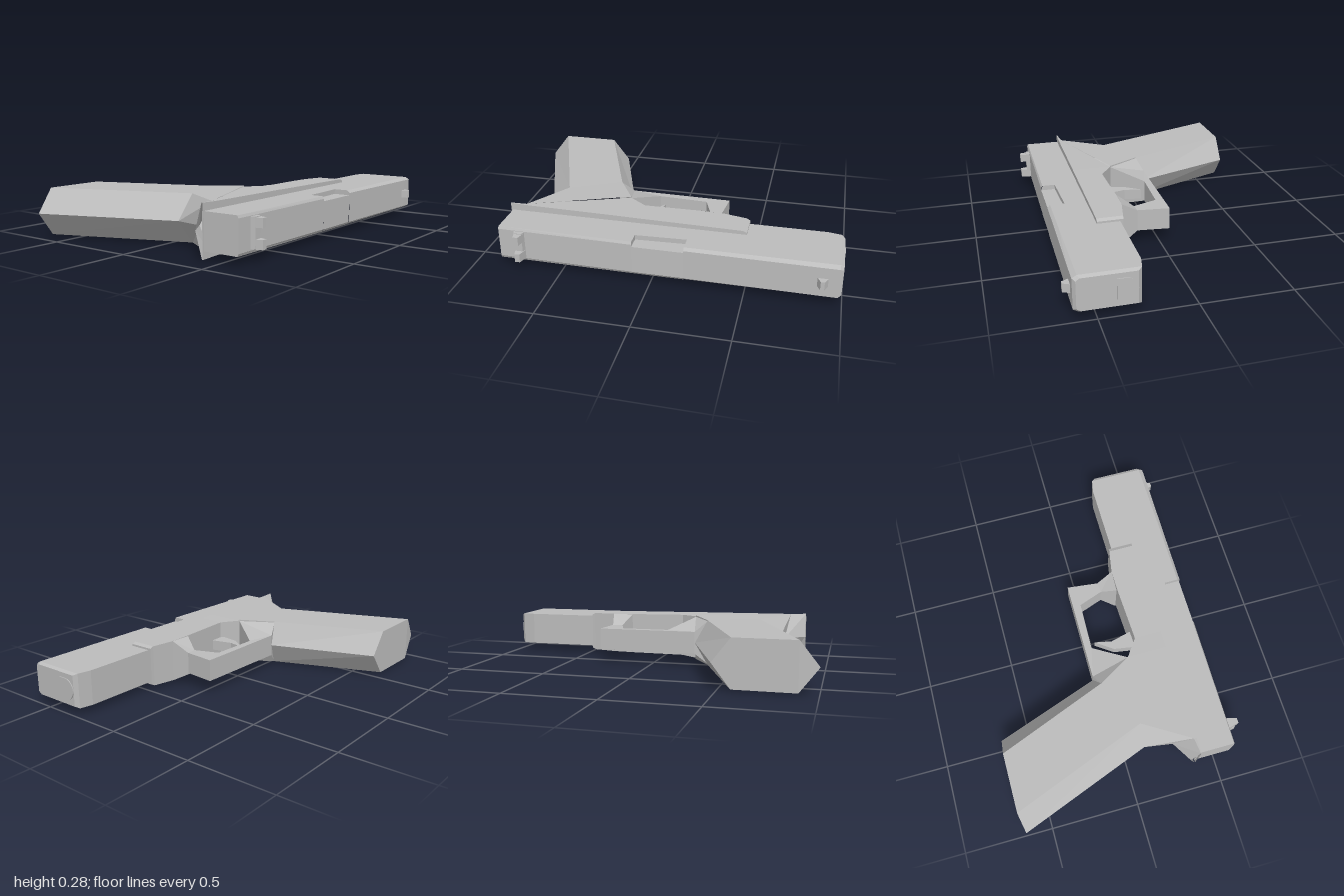
import * as THREE from 'three';

const MID = 0.14; // height of the symmetry plane

// Skin over open cross-section lines (arrays of [x, y, z]), with optional end caps
function loft(sections, capStart = false, capEnd = false) {
  const n = sections[0].length;
  const idx = [];
  for (let s = 0; s < sections.length - 1; s++) {
    for (let i = 0; i < n - 1; i++) {
      const a = s * n + i, b = a + 1;
      idx.push(a, b, b + n, a, b + n, a + n);
    }
  }
  const e = (sections.length - 1) * n;
  for (let i = 1; i < n - 1; i++) {
    if (capStart) idx.push(0, i + 1, i);
    if (capEnd) idx.push(e, e + i, e + i + 1);
  }
  const g = new THREE.BufferGeometry();
  g.setAttribute('position', new THREE.Float32BufferAttribute(sections.flat(2), 3));
  g.setIndex(idx);
  const flat = g.toNonIndexed();
  flat.computeVertexNormals();
  return flat;
}

export function createModel() {
  const model = new THREE.Group();
  // the shell is open underneath, so both sides show
  const gray = new THREE.MeshStandardMaterial({ color: 0xbcbcbc, flatShading: true, side: THREE.DoubleSide });
  gray.name = 'gray';
  const add = (name, geometry) => {
    const mesh = new THREE.Mesh(geometry, gray);
    mesh.name = name;
    model.add(mesh);
  };

  // Grip: six-sided sections with ridges on the middle plane, open below
  const grip = (rearRidge, rear, front, frontRidge, h) => [
    [rear[0], MID - h, rear[1]],
    [rearRidge[0], MID, rearRidge[1]],
    [rear[0], MID + h, rear[1]],
    [front[0], MID + h, front[1]],
    [frontRidge[0], MID, frontRidge[1]],
    [front[0], MID - h, front[1]],
  ];
  add('grip', loft([
    grip([-1, -0.64], [-0.9, -0.655], [-0.57, -0.655], [-0.47, -0.655], 0.13),
    grip([-0.72, 0.115], [-0.61, 0.115], [-0.33, -0.03], [-0.26, -0.055], 0.13),
    grip([-0.745, 0.275], [-0.77, 0.375], [-0.22, 0.16], [-0.22, 0.16], 0.134),
  ], true));

  // Flared tail behind the grip
  const tail = (ridge, flat, h) => [
    [flat[0], MID - h, flat[1]], [ridge[0], MID, ridge[1]], [flat[0], MID + h, flat[1]],
  ];
  add('tail', loft([
    tail([-0.745, 0.275], [-0.77, 0.375], 0.134),
    tail([-0.86, 0.345], [-0.86, 0.385], 0.138),
  ]));

  // Frame under the slide: rear part joins the grip, front part has its own lower wall
  const rail = (x, h, z0) => [
    [x, MID - h, z0], [x, MID + h, z0], [x, MID + h, 0.39], [x, MID - h, 0.39],
  ];
  add('rearFrame', loft([
    rail(-0.86, 0.138, 0.385), rail(-0.77, 0.134, 0.375), rail(-0.22, 0.128, 0.16),
  ].map(section => section.slice(1))));
  add('frontFrame', loft([
    rail(-0.22, 0.128, 0.16), rail(-0.12, 0.126, 0.232), rail(0.2, 0.122, 0.22),
    rail(0.325, 0.12, 0.22), rail(0.46, 0.118, 0.245), rail(0.48, 0.108, 0.247),
  ], false, true));

  // Guard loop, slim below and widening into the frame
  const guard = (inner, outer, h) => [
    [inner[0], MID - h, inner[1]], [inner[0], MID + h, inner[1]],
    [outer[0], MID + h, outer[1]], [outer[0], MID - h, outer[1]],
  ];
  add('triggerGuard', loft([
    guard([-0.22, 0.16], [-0.33, -0.03], 0.125),
    guard([-0.09, -0.02], [-0.26, -0.06], 0.064),
    guard([0.19, -0.01], [0.32, -0.055], 0.062),
    guard([0.24, 0.13], [0.3, 0.125], 0.062),
    guard([0.2, 0.215], [0.325, 0.22], 0.12),
  ]));

  // Trigger
  const triggerShape = new THREE.Shape(
    [[-0.05, -0.01], [-0.07, -0.11], [-0.04, -0.23], [-0.14, -0.235], [-0.12, -0.11]]
      .map(p => new THREE.Vector2(...p)));
  const trigger = new THREE.ExtrudeGeometry(triggerShape, { depth: 0.06, bevelEnabled: false });
  add('trigger', trigger.rotateX(-Math.PI / 2).translate(0, MID - 0.03, 0));

  // Slide: hollow section with chamfered upper edges, c is the chamfer
  const slide = (x, lo, hi, c, h = 0.097) => [
    [x, MID - h, lo], [x, MID + h, lo], [x, MID + h, hi - c],
    [x, MID + h - 0.014, hi], [x, MID - h + 0.014, hi], [x, MID - h, hi - c],
  ];
  add('slideRear', loft([slide(-0.85, 0.38, 0.594, 0.006), slide(-0.1, 0.38, 0.602, 0.008)], true));
  add('slideMiddle', loft([[-0.1, 0.522], [0.18, 0.51]].map(([x, z]) => [
    [x, MID + 0.097, 0.38], [x, MID + 0.097, z], [x, MID + 0.07, z],
    [x, MID + 0.07, 0.602], [x, MID - 0.083, 0.604], [x, MID - 0.097, 0.594],
  ])));
  add('slideFront', loft([
    slide(0.18, 0.38, 0.606, 0.016), slide(0.48, 0.38, 0.608, 0.018),
  ]));
  add('slideNose', loft([
    slide(0.48, 0.265, 0.608, 0.018), slide(0.9, 0.265, 0.612, 0.024),
    slide(0.975, 0.28, 0.612, 0.024), slide(0.993, 0.3, 0.598, 0.02, 0.087),
  ], false, true));

  // End walls of the side port
  for (const [x, z] of [[-0.1, 0.522], [0.18, 0.51]]) {
    add('portWall', loft([
      [[x, MID + 0.07, z], [x, MID + 0.07, 0.604]],
      [[x, MID + 0.097, z], [x, MID + 0.097, 0.592]],
    ]));
  }

  // Rounded plate on the front end
  const cap = new THREE.Shape();
  cap.moveTo(-0.405, -0.06);
  cap.lineTo(-0.36, -0.06);
  cap.absarc(-0.36, 0, 0.06, -Math.PI / 2, Math.PI / 2, false);
  cap.lineTo(-0.405, 0.06);
  const plate = new THREE.ExtrudeGeometry(cap, { depth: 0.009, bevelEnabled: false, curveSegments: 6 });
  add('frontPlate', plate.rotateY(Math.PI / 2).translate(0.989, MID, 0));

  // Sights: tapered blocks
  const block = (x0, x1, y0, y1, z) => [
    [x0, y0, z], [x1, y0, z], [x1, y1, z], [x0, y1, z], [x0, y0, z],
  ];
  const sight = (name, x0, x1, y0, y1, z0, z1, inset) => add(name, loft([
    block(x0, x1, y0, y1, z0), block(x0 + inset, x1 - inset, y0, y1, z1),
  ], false, true));
  sight('rearSightBase', -0.76, -0.7, 0.065, 0.22, 0.592, 0.618, 0.008);
  for (const s of [-1, 1]) {
    const y = MID + s * 0.052;
    sight('rearSightPost', -0.755, -0.7, y - 0.024, y + 0.024, 0.6, 0.655, 0.013);
  }
  sight('frontSight', 0.865, 0.925, 0.115, 0.162, 0.606, 0.648, 0.02);

  return model;
}
